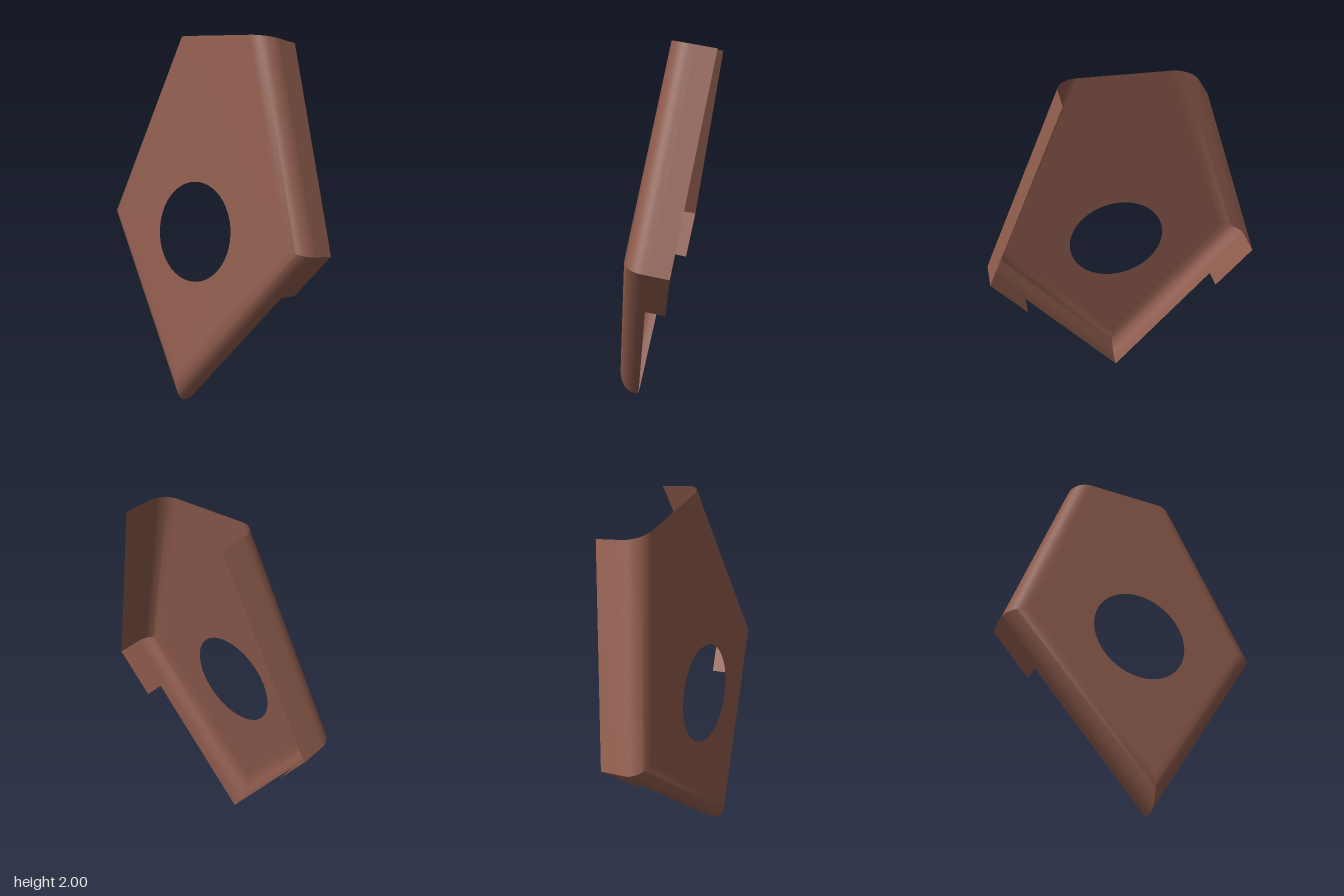
import * as THREE from 'three';
import { toCreasedNormals } from 'three/addons/utils/BufferGeometryUtils.js';

// Outline in the plate's own plane (x across, y along the plate, z outward)
const TOP = { x: 0.335, y: 1.977 };
const CORNER = { x: 0.737, y: 0.936 };
const TIP_Y = -0.03;
const FACE_Z = 0.303, LIP_Z = 0.172, BACK_Z = 0.0695;
const RADIUS = 0.1, STEPS = 12;
const TAB_Y = 0.69;
const TILT = THREE.MathUtils.degToRad(10);

// Outward normals of the upper and lower edges, and the mitre at the side corner
const upper = new THREE.Vector2(TOP.y - CORNER.y, CORNER.x - TOP.x).normalize();
const lower = new THREE.Vector2(CORNER.y - TIP_Y, -CORNER.x).normalize();
const mitre = upper.clone().add(lower).divideScalar(1 + upper.dot(lower));

// Open outline moved inward by d, counterclockwise from the top left
function outline(d) {
  const tx = TOP.x - d / upper.x;
  const cx = CORNER.x - d * mitre.x, cy = CORNER.y - d * mitre.y;
  return [[-tx, TOP.y], [-cx, cy], [0, TIP_Y - d / lower.y], [cx, cy], [tx, TOP.y]];
}

// Skin a list of rings (each a list of [x, y, z]) from inner to outer
function loft(rings) {
  const n = rings[0].length, index = [];
  for (let i = 0; i < rings.length - 1; i++) {
    for (let j = 0; j < n - 1; j++) {
      const a = i * n + j, b = a + n;
      index.push(b, b + 1, a + 1, b, a + 1, a);
    }
  }
  const g = new THREE.BufferGeometry();
  g.setAttribute('position', new THREE.Float32BufferAttribute(rings.flat(2), 3));
  g.setIndex(index);
  return toCreasedNormals(g, THREE.MathUtils.degToRad(30));
}

export function createModel() {
  const group = new THREE.Group();
  group.name = 'bentPlate';
  const material = new THREE.MeshStandardMaterial({ color: 0x8d5b4c, side: THREE.DoubleSide });
  const shell = new THREE.Group();
  shell.name = 'tiltedShell';
  shell.rotation.x = -TILT;
  group.add(shell);

  function add(name, geometry) {
    const mesh = new THREE.Mesh(geometry, material);
    mesh.name = name;
    shell.add(mesh);
  }

  // Flat face with the round hole
  const face = new THREE.Shape(outline(RADIUS).map(([x, y]) => new THREE.Vector2(x, y)));
  face.holes.push(new THREE.Path().absarc(0, 0.932, 0.27, 0, Math.PI * 2, true));
  add('facePlate', new THREE.ShapeGeometry(face, 24).translate(0, 0, FACE_Z));

  // Rounded rim around the sides and point, ending in a short straight lip
  const rings = [];
  for (let i = 0; i <= STEPS; i++) {
    const t = (i / STEPS) * Math.PI / 2;
    const z = FACE_Z - RADIUS * (1 - Math.cos(t));
    rings.push(outline(RADIUS * (1 - Math.sin(t))).map(([x, y]) => [x, y, z]));
  }
  rings.push(outline(0).map(([x, y]) => [x, y, LIP_Z]));
  add('roundedRim', loft(rings));

  // Deep upper flanges and the short tabs below the side corners
  const tabX = CORNER.x * (TAB_Y - TIP_Y) / (CORNER.y - TIP_Y);
  for (const [side, s] of [['left', 1], ['right', -1]]) {
    const strip = (points) => {
      const row = s > 0 ? points : points.slice().reverse();
      return loft([LIP_Z, BACK_Z].map((z) => row.map(([x, y]) => [s * x, y, z])));
    };
    add(side + 'Flange', strip([[CORNER.x, CORNER.y], [TOP.x, TOP.y]]));
    add(side + 'CornerTab', strip([[tabX, TAB_Y], [CORNER.x, CORNER.y]]));
  }
  return group;
}
